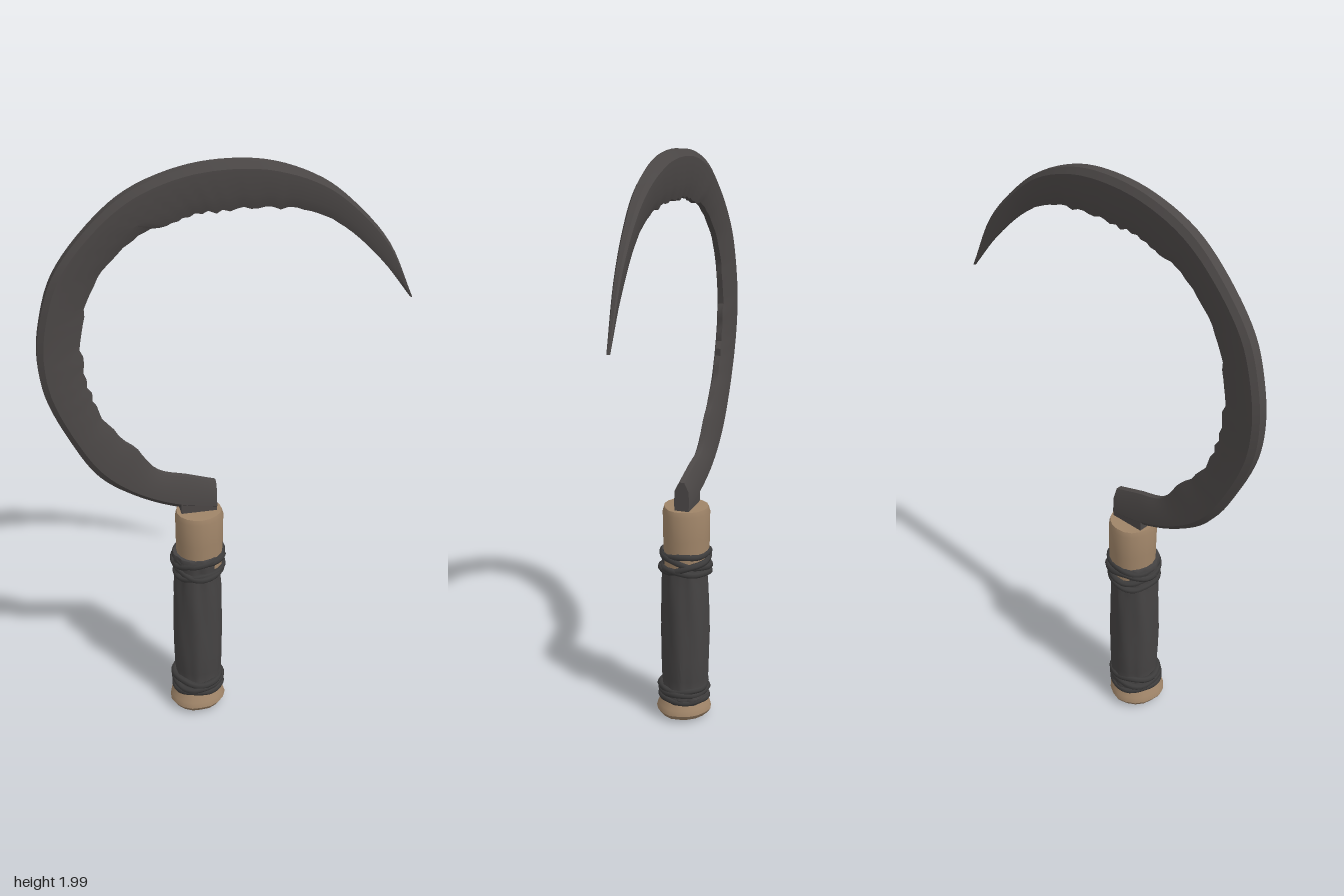
import * as THREE from 'three';
import { toCreasedNormals } from 'three/addons/utils/BufferGeometryUtils.js';

const mat = (name, color) => {
  const m = new THREE.MeshStandardMaterial({ color });
  m.name = name;
  return m;
};

// Small repeatable value in -1..1 for wear and nicks
const wear = (n) => {
  const s = Math.sin(n * 127.1 + 11.7) * 43758.5453;
  return (s - Math.floor(s)) * 2 - 1;
};

// Matching stations from tang to tip: outer x, y, inner x, y, z of the centre
const STATIONS = [
  [-0.045, 0.81, -0.045, 0.91, -0.015], [-0.17, 0.83, -0.14, 0.94, -0.015],
  [-0.31, 0.89, -0.235, 0.97, -0.015], [-0.43, 0.98, -0.32, 1.07, -0.013],
  [-0.52, 1.13, -0.405, 1.18, -0.012], [-0.585, 1.29, -0.45, 1.3, -0.01],
  [-0.6, 1.42, -0.465, 1.43, -0.01], [-0.585, 1.54, -0.445, 1.57, -0.008],
  [-0.54, 1.68, -0.385, 1.69, -0.005], [-0.43, 1.825, -0.27, 1.79, -0.002],
  [-0.31, 1.925, -0.18, 1.825, 0], [-0.15, 1.985, -0.085, 1.845, 0],
  [0, 2, 0.02, 1.85, 0], [0.14, 1.983, 0.13, 1.845, 0],
  [0.29, 1.92, 0.25, 1.825, -0.003], [0.395, 1.835, 0.36, 1.765, -0.008],
  [0.51, 1.7, 0.49, 1.64, -0.018], [0.6, 1.505, 0.594, 1.505, -0.026],
];

// Half cross-section: distance from outer to inner edge, share of half thickness
const SECTION = [[0, 0.55], [0.14, 1], [0.68, 0.92], [1, 0.35]];

function bladeGeometry() {
  const curve = (a, b) => new THREE.CatmullRomCurve3(
    STATIONS.map((s) => new THREE.Vector3(s[a], s[b], s[4])));
  const outer = curve(0, 1), inner = curve(2, 3);
  const steps = 85, ring = SECTION.length * 2, pos = [], idx = [];
  for (let i = 0; i <= steps; i++) {
    const t = i / steps;
    const o = outer.getPoint(t), n = inner.getPoint(t);
    const half = 0.027 * Math.min(1, 0.2 + (1 - t) * 3.5);
    const chipped = t > 0.14 && t < 0.86;
    const nick = chipped ? 0.05 * wear(i) : 0;
    const put = ([u, h], side) => {
      const p = o.clone().lerp(n, u === 1 ? 1 + nick : u + nick * 0.3 * u);
      pos.push(p.x, p.y, p.z + side * h * half);
    };
    SECTION.forEach((s) => put(s, 1));
    [...SECTION].reverse().forEach((s) => put(s, -1));
  }
  for (let i = 0; i < steps; i++) {
    for (let k = 0; k < ring; k++) {
      const a = i * ring + k, b = i * ring + (k + 1) % ring;
      idx.push(a, b, b + ring, a, b + ring, a + ring);
    }
  }
  const end = steps * ring;
  for (let k = 1; k < ring - 1; k++) {
    idx.push(0, k + 1, k, end, end + k, end + k + 1);
  }
  const g = new THREE.BufferGeometry();
  g.setAttribute('position', new THREE.Float32BufferAttribute(pos, 3));
  g.setIndex(idx);
  return toCreasedNormals(g, 0.5);
}

// Lathe whose radius is varied by rule(angle, y)
function roughLathe(profile, sides, rule, crease) {
  const g = new THREE.LatheGeometry(profile.map((p) => new THREE.Vector2(...p)), sides);
  const p = g.attributes.position;
  for (let i = 0; i < p.count; i++) {
    const k = rule(Math.atan2(p.getZ(i), p.getX(i)), p.getY(i));
    p.setX(i, p.getX(i) * k);
    p.setZ(i, p.getZ(i) * k);
  }
  return toCreasedNormals(g, crease);
}

// Closed cord loop round the grip, tilted and slightly wavy
function cordGeometry(y, radius, tilt, phase, thick) {
  const pts = [];
  for (let i = 0; i < 16; i++) {
    const a = i / 16 * Math.PI * 2;
    const r = radius + 0.003 * Math.sin(3 * a + phase);
    pts.push(new THREE.Vector3(r * Math.cos(a),
      y + tilt * Math.sin(a + phase) + 0.003 * Math.sin(4 * a + phase), r * Math.sin(a)));
  }
  return new THREE.TubeGeometry(new THREE.CatmullRomCurve3(pts, true), 40, thick, 7, true);
}

export function createModel() {
  const model = new THREE.Group();
  const iron = mat('dark iron', 0x4c4847);
  const leather = mat('dark leather', 0x454343);
  const cord = mat('cord', 0x3c3b3b);
  const wood = mat('wood', 0x9f8468);
  const add = (name, geometry, material, x = 0, y = 0, z = 0) => {
    const m = new THREE.Mesh(geometry, material);
    m.name = name;
    m.position.set(x, y, z);
    model.add(m);
    return m;
  };

  // Curved blade and the tang that enters the handle
  add('blade', bladeGeometry(), iron);
  add('tang', new THREE.BoxGeometry(0.12, 0.08, 0.05), iron, -0.106, 0.81, -0.015);

  // Wooden core showing above the wrap
  add('collar', roughLathe(
    [[0, 0.6], [0.078, 0.6], [0.08, 0.7], [0.081, 0.79], [0.076, 0.808], [0, 0.808]], 18,
    (a, y) => 1 + 0.02 * Math.sin(3 * a + 1) + 0.012 * Math.sin(5 * a + y * 8), 0.6),
  wood, -0.105, 0, -0.01);

  // Rounded wooden butt
  add('butt', roughLathe(
    [[0, 0.008], [0.06, 0.01], [0.086, 0.02], [0.097, 0.037], [0.092, 0.056],
      [0.078, 0.075], [0.07, 0.1], [0, 0.1]], 18,
    (a) => 1 + 0.025 * Math.sin(3 * a + 0.5) + 0.015 * Math.sin(7 * a), 0.7),
  wood, -0.122, 0, 0.002);

  // Leather wrap with lengthwise folds
  const wrap = [[0, 0.075], [0.076, 0.075], [0.084, 0.1], [0.077, 0.125], [0.082, 0.17],
    [0.084, 0.25], [0.084, 0.34], [0.083, 0.43], [0.081, 0.52], [0.077, 0.565],
    [0.078, 0.61], [0.083, 0.64], [0.08, 0.65], [0, 0.65]];
  add('gripWrap', roughLathe(wrap, 44,
    (a, y) => 1 + 0.025 * Math.sin(7 * a + 2 * Math.sin(y * 6))
      + 0.018 * Math.sin(13 * a - 3 * Math.sin(y * 9)), 0.6),
  leather, -0.114, 0, -0.005);

  // Cord bindings at both ends: height, radius, tilt, phase
  const cords = [
    [0.09, 0.081, 0.004, 0], [0.112, 0.082, 0.005, 2], [0.132, 0.08, 0.006, 4],
    [0.578, 0.08, 0.012, 1], [0.602, 0.083, 0.024, 3.4], [0.615, 0.081, 0.022, 0.4],
    [0.638, 0.08, 0.008, 2.2],
  ];
  cords.forEach(([y, r, tilt, phase], i) => {
    add('cord' + (i + 1), cordGeometry(y, r, tilt, phase, 0.0115), cord,
      y < 0.3 ? -0.118 : -0.109, 0, y < 0.3 ? 0 : -0.008);
  });

  return model;
}
